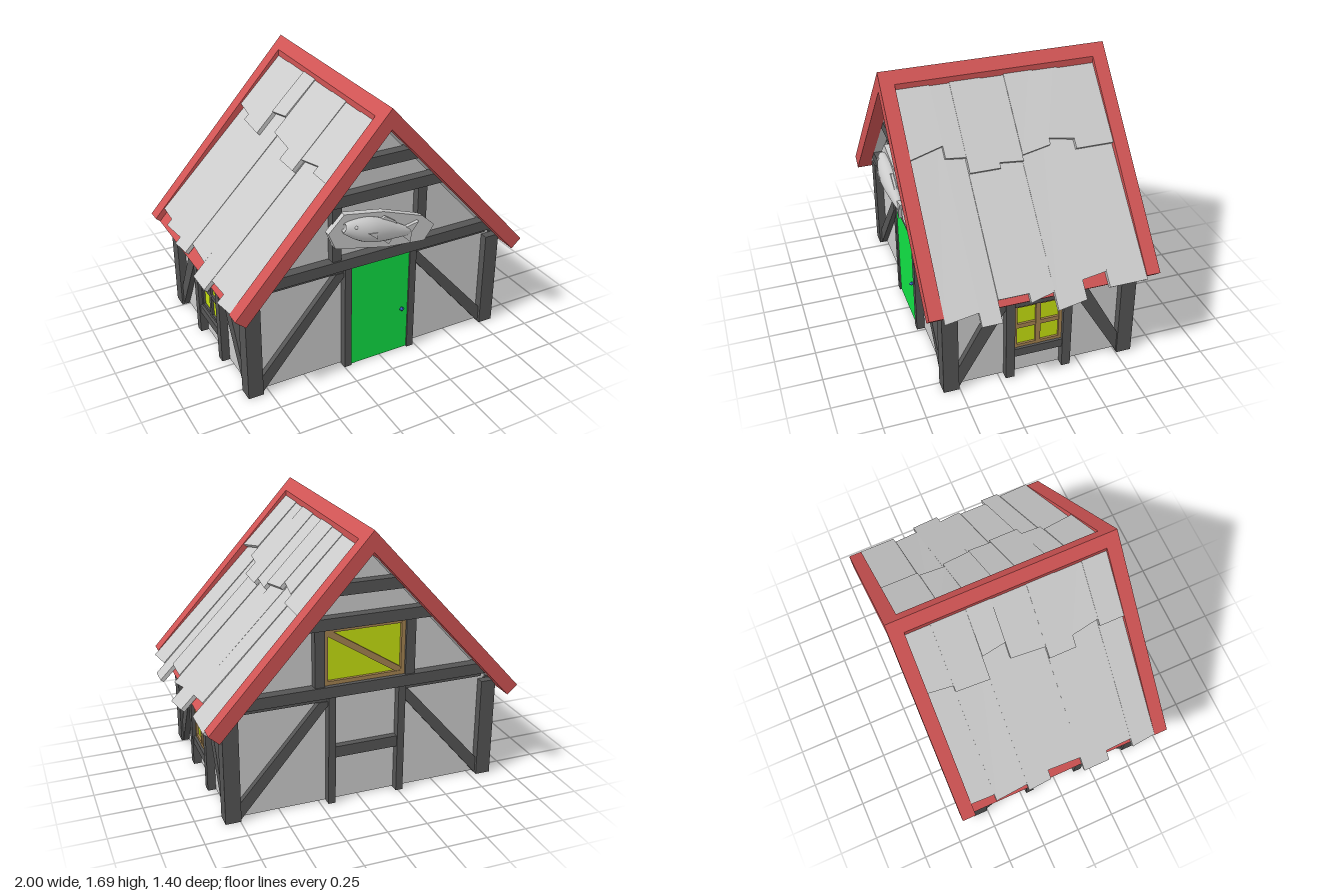
import * as THREE from 'three';

const mat = (color, side = THREE.FrontSide) => new THREE.MeshStandardMaterial({ color, side, flatShading: true });
const grey = mat(0xcccccc), thin = mat(0xcccccc, THREE.DoubleSide), timber = mat(0x555555);
const red = mat(0xd05454), green = mat(0x10e044), yellow = mat(0xc6e010), brown = mat(0xa58350), blue = mat(0x3a6cc8);
const smooth = new THREE.MeshStandardMaterial({ color: 0xcccccc, side: THREE.DoubleSide });

const CX = -0.0225, RIDGE = 1.69, SLOPE = 1.104, T = 0.084;   // house axis, ridge height, roof pitch, trim thickness
const A = Math.atan(SLOPE), SIN = Math.sin(A), COS = Math.cos(A);

function add(parent, name, geometry, material) {
  const m = new THREE.Mesh(geometry, material);
  m.name = name;
  parent.add(m);
  return m;
}

// Box given by its limits
function box(parent, name, material, x0, x1, y0, y1, z0, z1) {
  const g = new THREE.BoxGeometry(x1 - x0, y1 - y0, z1 - z0);
  g.translate((x0 + x1) / 2, (y0 + y1) / 2, (z0 + z1) / 2);
  return add(parent, name, g, material);
}

// Polygon in the xy plane extruded from z0 to z1
const shapeOf = (pts) => new THREE.Shape(pts.map(([x, y]) => new THREE.Vector2(x, y)));
function slab(parent, name, material, pts, z0, z1) {
  const g = new THREE.ExtrudeGeometry(shapeOf(pts), { depth: z1 - z0, bevelEnabled: false });
  return add(parent, name, g.translate(0, 0, z0), material);
}

// Gable wall with its framing, facing +z, centred on x = 0
function gableWall(name) {
  const g = new THREE.Group();
  g.name = name;
  add(g, 'wall', new THREE.ShapeGeometry(shapeOf([[-0.8125, 0.005], [0.8125, 0.005], [0.8125, 0.66], [0, 1.56], [-0.8125, 0.66]])), thin)
    .position.z = 0.55;
  // Horizontal beams cut to the roof pitch
  for (const [y0, y1] of [[0.70, 0.77], [1.115, 1.185], [1.31, 1.38]]) {
    const w0 = (1.575 - y0) / SLOPE, w1 = (1.575 - y1) / SLOPE;
    slab(g, 'crossBeam', timber, [[-w0, y0], [w0, y0], [w1, y1], [-w1, y1]], 0.54, 0.61);
  }
  box(g, 'doorPost', timber, -0.2275, -0.1825, 0, 0.7, 0.54, 0.6);
  box(g, 'doorPost', timber, 0.2125, 0.2575, 0, 0.7, 0.54, 0.6);
  for (const s of [-1, 1]) {
    box(g, 'gablePost', timber, s * 0.282 - 0.03, s * 0.282 + 0.03, 0.77, 1.115, 0.54, 0.6);
    box(g, 'lintel', timber, s * 0.5 - 0.27, s * 0.5 + 0.27, 0.67, 0.7, 0.54, 0.58);
    const brace = [[0.765, 0.005], [0.765, 0.115], [0.28, 0.67], [0.225, 0.67], [0.225, 0.645]].map(([x, y]) => [s * x, y]);
    slab(g, 'brace', timber, brace, 0.54, 0.585);
  }
  return g;
}

// Long wall with its framing and four-pane window, facing +z before it is turned
function sideWall(name, frameMaterial) {
  const g = new THREE.Group();
  g.name = name;
  add(g, 'wall', new THREE.PlaneGeometry(1.1, 0.66).translate(0, 0.335, 0.8125), thin);
  box(g, 'windowPost', timber, -0.215, -0.16, 0, 0.65, 0.8, 0.8625);
  box(g, 'windowPost', timber, 0.14, 0.195, 0, 0.65, 0.8, 0.8625);
  box(g, 'windowSill', timber, -0.16, 0.14, 0.145, 0.2, 0.8, 0.855);
  box(g, 'windowHead', timber, -0.16, 0.14, 0.51, 0.57, 0.8, 0.855);
  box(g, 'wallPlate', timber, -0.55, 0.55, 0.6, 0.65, 0.8, 0.84);
  for (const s of [-1, 1]) {
    const brace = [[0.505, 0.005], [0.505, 0.15], [0.25, 0.62], [0.2, 0.62], [0.2, 0.53]].map(([x, y]) => [s * x, y]);
    slab(g, 'brace', timber, brace, 0.8, 0.85);
  }
  box(g, 'windowPanes', yellow, -0.15, 0.13, 0.21, 0.5, 0.8, 0.825);
  for (const [a, b] of [[-0.16, -0.14], [-0.025, 0.005], [0.12, 0.14]]) box(g, 'windowBar', frameMaterial, a, b, 0.2, 0.51, 0.8, 0.84);
  for (const [a, b] of [[0.2, 0.22], [0.34, 0.37], [0.49, 0.51]]) box(g, 'windowBar', frameMaterial, -0.16, 0.14, a, b, 0.8, 0.838);
  return g;
}

// Roof board on side s: z range, start and skewed ends down the slope, top heights and thickness
function board(parent, name, material, s, z0, z1, dStart, dEnd0, dEnd1, hStart, hEnd, t) {
  const g = new THREE.BoxGeometry(1, 1, 1), p = g.attributes.position;
  for (let i = 0; i < p.count; i++) {
    const u = s > 0 ? p.getX(i) + 0.5 : 0.5 - p.getX(i), v = p.getY(i) + 0.5;
    const d = dStart + v * (dEnd0 + u * (dEnd1 - dEnd0) - dStart);
    const h = hStart + v * (hEnd - hStart) + (p.getZ(i) - 0.5) * t;
    p.setXYZ(i, -0.02 + s * (d * COS + h * SIN), RIDGE - d * SIN + h * COS, z0 + u * (z1 - z0));
  }
  g.computeVertexNormals();
  return add(parent, name, g, material);
}

function makeRoof() {
  const roof = new THREE.Group();
  roof.name = 'roof';
  // Chevron trim at both gables, and a short one as ridge cap
  const chevron = (w, cut) => {
    const y = RIDGE - w * SLOPE, dx = cut ? T * SIN : 0, dy = cut ? T * COS : T / COS;
    return [[0, RIDGE], [-w, y], [-w + dx, y - dy], [0, RIDGE - T / COS], [w - dx, y - dy], [w, y]].map(([x, v]) => [x - 0.02, v]);
  };
  for (const z of [-0.695, 0.61]) slab(roof, 'gableTrim', red, chevron(0.96, true), z, z + 0.085);
  slab(roof, 'ridgeTrim', red, chevron(0.0575, false), -0.61, 0.61);

  // Shingle rows: z edges, then end heights of the upper and lower boards
  const rows = [
    { s: 1, z: [-0.612, -0.375, -0.22, -0.04, 0.105, 0.29, 0.41, 0.612],
      up: [[1.23, 1.23], [1.275, 1.295], [1.265, 1.24], [1.215, 1.225], [1.2, 1.2], [1.27, 1.28], [1.335, 1.295]],
      low: [[0.615, 0.615], [0.685, 0.67], [0.585, 0.565], [0.645, 0.62], [0.66, 0.66], [0.565, 0.565], [0.625, 0.605]] },
    { s: -1, z: [-0.612, -0.46, -0.25, -0.1, 0.115, 0.285, 0.455, 0.612],
      up: [[1.315, 1.3], [1.27, 1.26], [1.38, 1.4], [1.315, 1.3], [1.24, 1.24], [1.3, 1.325], [1.29, 1.29]],
      low: [[0.695, 0.69], [0.655, 0.67], [0.635, 0.645], [0.695, 0.685], [0.608, 0.608], [0.66, 0.665], [0.62, 0.635]] },
  ];
  const dist = (y) => (RIDGE - y) / SIN, edge = 0.96 / COS;
  for (const { s, z, up, low } of rows) {
    board(roof, 'roofDeck', grey, s, -0.61, 0.61, 0.06, edge - 0.03, edge - 0.03, -0.055, -0.055, 0.026);
    board(roof, 'eaveTrim', red, s, -0.61, 0.61, edge - 0.08, edge, edge, -0.036, -0.036, T - 0.036);
    for (let i = 0; i < 7; i++) {
      const lift = ((i * 3) % 7) * 0.0012;
      board(roof, 'lowerShingle', grey, s, z[i], z[i + 1], 0.35, dist(low[i][0]), dist(low[i][1]), -0.05 + lift, -0.006 + lift, 0.026);
      board(roof, 'upperShingle', grey, s, z[i], z[i + 1], 0.04, dist(up[i][0]), dist(up[i][1]), -0.03 + lift, -0.01 + lift, 0.026);
    }
  }
  return roof;
}

// Mounted fish on a plaque
function makeFish() {
  const g = new THREE.Group();
  g.name = 'fishPlaque';
  slab(g, 'plaque', grey, [[-0.375, 0.98], [-0.33, 0.875], [0.01, 0.795], [0.265, 0.77], [0.33, 0.86], [0.245, 0.94], [-0.02, 1.035], [-0.275, 1.08]], 0.59, 0.63);
  const fish = new THREE.Group();
  fish.name = 'fish';
  // Body turned along its length, with a hollow mouth at the left end
  const profile = [[0, 0.06], [0.018, 0.02], [0.027, 0], [0.047, 0.04], [0.068, 0.11], [0.076, 0.18], [0.068, 0.26], [0.05, 0.34], [0.033, 0.41], [0.02, 0.45], [0, 0.46]];
  const curve = new THREE.SplineCurve(profile.map(([r, l]) => new THREE.Vector2(r, l)));
  const pts = curve.getPoints(30).map((p) => new THREE.Vector2(Math.max(p.x, 0), p.y));
  const body = new THREE.LatheGeometry(pts, 24).rotateZ(-Math.PI / 2).scale(1, 1, 0.8);
  add(fish, 'body', body, smooth);
  slab(fish, 'tail', grey, [[0.4, 0.02], [0.49, 0.07], [0.465, 0], [0.475, -0.065], [0.4, -0.025]], -0.01, 0.012);
  slab(fish, 'dorsalFin', grey, [[0.22, 0.06], [0.35, 0.04], [0.33, 0.062], [0.25, 0.088]], -0.008, 0.008);
  slab(fish, 'bellyFin', grey, [[0.27, -0.055], [0.33, -0.085], [0.35, -0.035]], -0.008, 0.008);
  const fin = slab(fish, 'sideFin', grey, [[0.13, 0], [0.2, -0.03], [0.19, 0.01]], 0, 0.01);
  fin.position.z = 0.055;
  for (const s of [-1, 1]) add(fish, 'eye', new THREE.SphereGeometry(0.01, 10, 8).translate(0.055, 0.022, s * 0.036), smooth);
  fish.position.set(-0.285, 1.005, 0.645);
  fish.rotation.z = -0.3;
  g.add(fish);
  return g;
}

export function createModel() {
  const house = new THREE.Group();
  house.name = 'timberHouse';

  for (const sx of [-1, 1]) for (const sz of [-1, 1]) {
    const x = CX + sx * 0.815, z = sz * 0.5525;
    box(house, 'cornerPost', timber, x - 0.0475, x + 0.0475, 0, 0.64, z - 0.0475, z + 0.0475);
  }

  const front = gableWall('frontWall');
  box(front, 'door', green, -0.1825, 0.2125, 0.003, 0.7, 0.545, 0.59);
  add(front, 'doorKnob', new THREE.OctahedronGeometry(0.017).translate(0.168, 0.3, 0.6), blue);

  const back = gableWall('backWall');
  back.rotation.y = Math.PI;
  box(back, 'rail', timber, -0.1825, 0.2125, 0.3, 0.37, 0.54, 0.59);
  // Gable window with a diagonal bar
  box(back, 'gableWindow', yellow, -0.25, 0.25, 0.77, 1.115, 0.545, 0.565);
  for (const s of [-1, 1]) box(back, 'windowFrame', brown, s * 0.24 - 0.012, s * 0.24 + 0.012, 0.77, 1.115, 0.545, 0.585);
  for (const y of [0.77, 1.091]) box(back, 'windowFrame', brown, -0.25, 0.25, y, y + 0.024, 0.545, 0.583);
  slab(back, 'diagonalBar', brown, [[-0.23, 1.095], [-0.23, 1.07], [0.2, 0.79], [0.23, 0.79], [0.23, 0.815], [-0.2, 1.095]], 0.545, 0.58);

  const left = sideWall('leftWall', brown), right = sideWall('rightWall', timber);
  left.rotation.y = Math.PI / 2;
  right.rotation.y = -Math.PI / 2;
  for (const wall of [front, back, left, right]) {
    wall.position.x = CX;
    house.add(wall);
  }

  house.add(makeRoof(), makeFish());
  return house;
}
